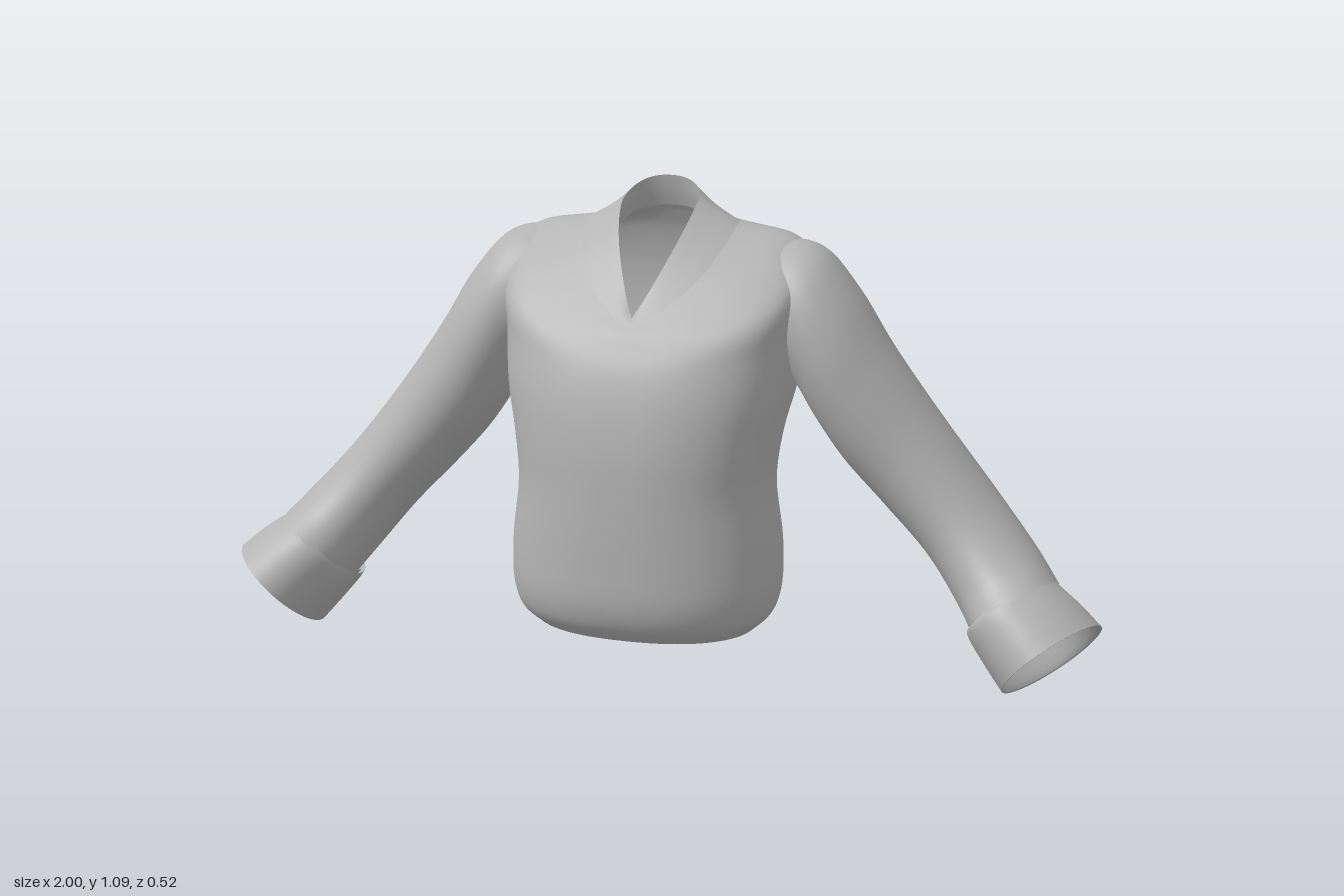
import * as THREE from 'three';

const N = 72; // points around each cross-section

// Smooth skin through key cross-sections, each a closed loop of N points
function loft(name, rings, steps, material, flip = false) {
  const rows = (rings.length - 1) * steps;
  const curves = rings[0].map((_, i) => new THREE.CatmullRomCurve3(rings.map(r => r[i])));
  const pos = [], idx = [];
  for (let j = 0; j <= rows; j++) {
    for (const c of curves) pos.push(...c.getPoint(j / rows).toArray());
  }
  for (let j = 0; j < rows; j++) {
    for (let i = 0; i < N; i++) {
      const a = j * N + i, b = j * N + (i + 1) % N, c = a + N, d = b + N;
      if (flip) idx.push(a, c, b, b, c, d);
      else idx.push(a, b, c, b, d, c);
    }
  }
  const geo = new THREE.BufferGeometry();
  geo.setAttribute('position', new THREE.Float32BufferAttribute(pos, 3));
  geo.setIndex(idx);
  geo.computeVertexNormals();
  const mesh = new THREE.Mesh(geo, material);
  mesh.name = name;
  return mesh;
}

// Body section: half width, z and y at front, side and back,
// v = how pointed the front is, ef and eb = squareness of front and back
function bodyRing([w, zf, zs, zb, yf, ys, yb, v = 0, ef = 0.88, eb = 0.88]) {
  return Array.from({ length: N }, (_, i) => {
    let a = (i / N) * Math.PI * 2;
    if (a > Math.PI) a -= Math.PI * 2;
    const s = Math.sin(a), c = Math.cos(a), front = c > 0;
    const e = front ? ef : eb;
    const round = Math.pow(Math.abs(c), e);
    const f = front ? THREE.MathUtils.lerp(round, 1 - Math.abs(a) / (Math.PI / 2), v) : round;
    return new THREE.Vector3(
      w * Math.sign(s) * Math.pow(Math.abs(s), e),
      ys + ((front ? yf : yb) - ys) * Math.pow(f, 1.4),
      zs + ((front ? zf : zb) - zs) * f
    );
  });
}

// Sleeve section: upper and lower edge in x/y, centre and radius in z, tilt of the front edge
function sleeveRing([tx, ty, bx, by, zc, zr, tilt = 0, scale = 1], side) {
  return Array.from({ length: N }, (_, i) => {
    const a = (i / N) * Math.PI * 2;
    const u = Math.cos(a) * scale, v = Math.sin(a) * scale;
    return new THREE.Vector3(
      side * ((tx + bx) / 2 + (tx - bx) / 2 * u - 0.03 * tilt * v),
      (ty + by) / 2 + (ty - by) / 2 * u + 0.05 * tilt * v,
      zc + zr * v
    );
  });
}

export function createModel() {
  const group = new THREE.Group();
  group.name = 'sweater';
  const knit = new THREE.MeshStandardMaterial({ color: 0xb4b4b4, side: THREE.DoubleSide });
  knit.name = 'grey knit';

  // Torso from the hem to the base of the collar
  const collarBase = [0.17, 0.16, -0.09, -0.212, 0.815, 1.0, 1.0, 0.5];
  const torso = [
    [0.25, 0.20, 0.02, -0.17, 0.12, 0.12, 0.12],
    [0.285, 0.235, 0.02, -0.195, 0.155, 0.155, 0.155],
    [0.30, 0.255, 0.02, -0.215, 0.21, 0.21, 0.21],
    [0.30, 0.26, 0.02, -0.22, 0.31, 0.31, 0.31],
    [0.285, 0.26, 0.02, -0.20, 0.45, 0.45, 0.45],
    [0.295, 0.255, 0.01, -0.215, 0.56, 0.56, 0.56, 0, 0.85, 0.8],
    [0.315, 0.238, -0.02, -0.24, 0.66, 0.66, 0.66, 0, 0.8, 0.7],
    [0.325, 0.215, -0.05, -0.255, 0.73, 0.79, 0.77, 0, 0.78, 0.58],
    [0.335, 0.19, -0.09, -0.253, 0.775, 0.92, 0.87, 0, 0.75, 0.55],
    [0.295, 0.175, -0.11, -0.235, 0.80, 0.976, 0.95, 0.2, 0.78, 0.6],
    collarBase
  ];
  group.add(loft('torso', torso.map(bodyRing), 5, knit));

  // Collar rising to the V neckline, with a facing folded inside
  const rim = [0.085, 0.14, -0.08, -0.15, 0.83, 1.05, 1.09, 1];
  const collar = [collarBase, [0.125, 0.152, -0.085, -0.19, 0.822, 1.025, 1.035, 0.75], rim];
  const facing = [rim, [0.088, 0.138, -0.08, -0.158, 0.826, 1.02, 1.055, 1],
    [0.095, 0.135, -0.08, -0.17, 0.82, 0.99, 1.02, 1]];
  group.add(loft('collar', collar.map(bodyRing), 5, knit));
  group.add(loft('collarFacing', facing.map(bodyRing), 3, knit));

  // Sleeves and cuffs, mirrored
  const sleeve = [
    [0.16, 0.95, 0.20, 0.74, -0.11, 0.08],
    [0.26, 0.972, 0.255, 0.70, -0.108, 0.13],
    [0.35, 0.96, 0.31, 0.66, -0.103, 0.148],
    [0.43, 0.878, 0.355, 0.59, -0.1, 0.15],
    [0.515, 0.745, 0.42, 0.495, -0.107, 0.143],
    [0.625, 0.59, 0.505, 0.40, -0.12, 0.136],
    [0.755, 0.425, 0.61, 0.29, -0.118, 0.14, 0.15],
    [0.85, 0.317, 0.69, 0.19, -0.083, 0.147, 0.5],
    [0.895, 0.265, 0.74, 0.125, -0.045, 0.16, 0.8]
  ];
  const cuff = [
    [0.882, 0.272, 0.725, 0.125, -0.053, 0.155, 0.8],
    [0.892, 0.264, 0.733, 0.112, -0.048, 0.163, 0.9],
    [0.947, 0.226, 0.776, 0.058, -0.03, 0.175, 0.95],
    [0.994, 0.186, 0.815, 0.012, -0.016, 0.184, 1]
  ];
  const lining = [
    [0.994, 0.186, 0.815, 0.012, -0.016, 0.184, 1],
    [0.992, 0.187, 0.813, 0.013, -0.017, 0.184, 1, 0.95],
    [0.94, 0.23, 0.77, 0.063, -0.032, 0.173, 0.95, 0.93],
    [0.88, 0.275, 0.725, 0.127, -0.055, 0.152, 0.8, 0.94]
  ];
  for (const side of [1, -1]) {
    const arm = new THREE.Group();
    arm.name = side > 0 ? 'leftSleeve' : 'rightSleeve';
    const make = (name, keys, steps) =>
      arm.add(loft(name, keys.map(k => sleeveRing(k, side)), steps, knit, side < 0));
    make('sleeve', sleeve, 5);
    make('cuff', cuff, 4);
    make('cuffLining', lining, 4);
    group.add(arm);
  }
  return group;
}
